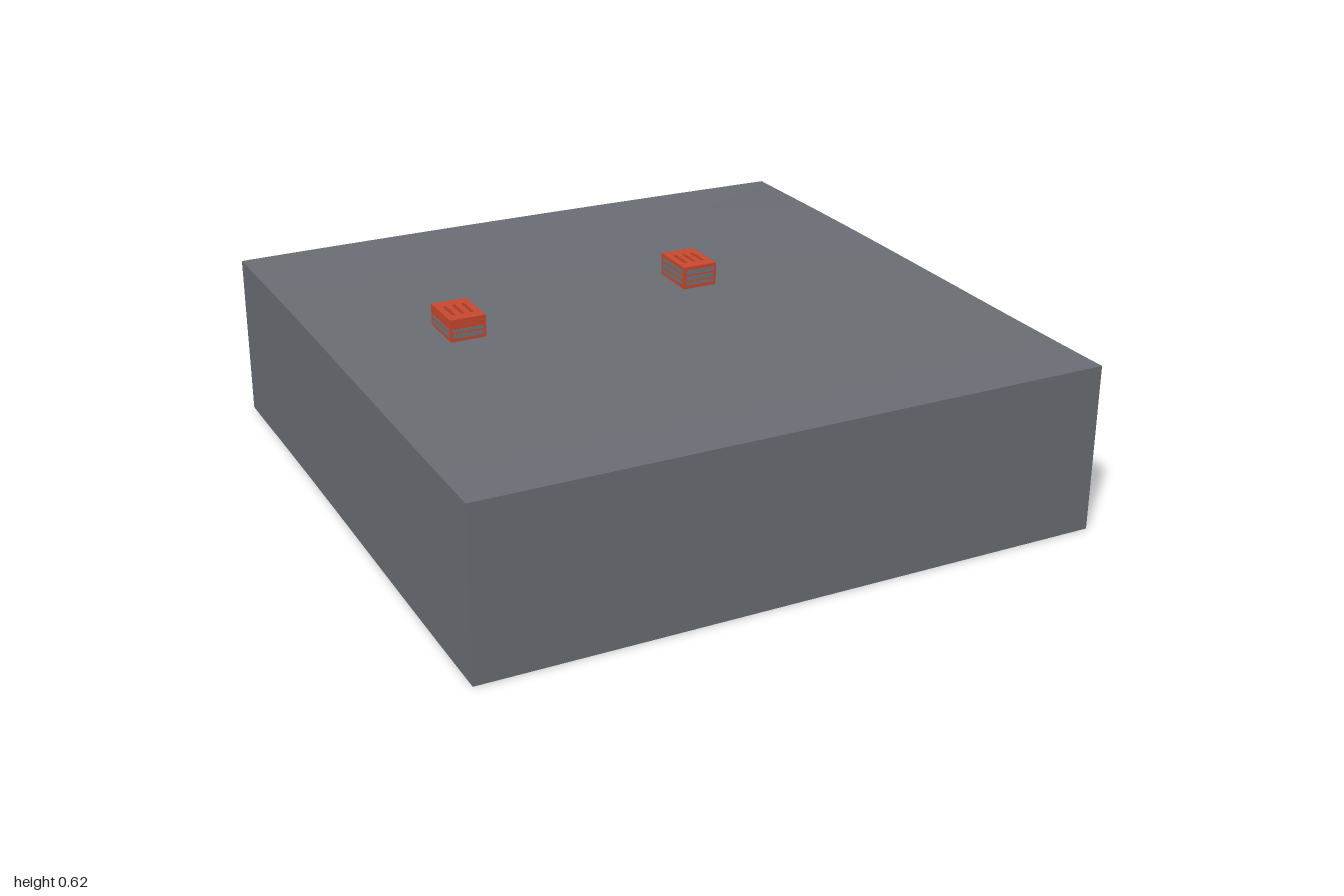
import * as THREE from 'three';

const DEPTH = 0.534;

// Gentle rise of the ground from front to back, easing off at the sides
function groundHeight(x, z) {
  const rise = THREE.MathUtils.smoothstep(-z, -0.9, 0.5);
  const falloff = 0.002 * THREE.MathUtils.smoothstep(-z, 0.6, 1);
  return DEPTH + rise * (0.016 - 0.005 * x * x) - falloff;
}

export function createModel() {
  const slate = new THREE.MeshStandardMaterial({ color: 0x6b6f75, side: THREE.DoubleSide });
  slate.name = 'slate ground';
  const red = new THREE.MeshStandardMaterial({ color: 0xcb4a30, side: THREE.DoubleSide });
  red.name = 'crate red';
  const grey = new THREE.MeshStandardMaterial({ color: 0x72787e });
  grey.name = 'crate grey';

  const model = new THREE.Group();
  const add = (parent, geometry, material, name, x = 0, y = 0, z = 0) => {
    const mesh = new THREE.Mesh(geometry, material);
    mesh.name = name;
    mesh.position.set(x, y, z);
    parent.add(mesh);
    return mesh;
  };

  // Ground surface
  const top = new THREE.PlaneGeometry(2, 2, 20, 20).rotateX(-Math.PI / 2);
  const tp = top.attributes.position;
  for (let i = 0; i < tp.count; i++) tp.setY(i, groundHeight(tp.getX(i), tp.getZ(i)));
  top.computeVertexNormals();
  add(model, top, slate, 'groundSurface');

  // Four skirt walls of constant height, open underneath
  ['front', 'left', 'back', 'right'].forEach((side, k) => {
    const wall = new THREE.PlaneGeometry(2, 1, 20, 1).translate(0, 0, 1).rotateY(k * Math.PI / 2);
    const p = wall.attributes.position;
    for (let i = 0; i < p.count; i++) {
      const h = groundHeight(p.getX(i), p.getZ(i));
      p.setY(i, p.getY(i) > 0 ? h : h - DEPTH);
    }
    add(model, wall, slate, side + 'Skirt');
  });

  // Slotted crate: red shell, grey side bands, three openings in the lid
  const W = 0.115, L = 0.16, H = 0.075, T = 0.008;
  function crate(name, x, y, z, bands) {
    const g = new THREE.Group();
    g.name = name;
    g.position.set(x, y, z);

    const lid = new THREE.Shape([[-1, -1], [1, -1], [1, 1], [-1, 1]]
      .map(([a, b]) => new THREE.Vector2(a * W / 2, b * L / 2)));
    for (const sx of [-0.03, 0, 0.03]) {
      lid.holes.push(new THREE.Path([[-1, -1], [-1, 1], [1, 1], [1, -1]]
        .map(([a, b]) => new THREE.Vector2(sx + a * 0.006, b * 0.04))));
    }
    const lidGeo = new THREE.ExtrudeGeometry(lid, { depth: T, bevelEnabled: false });
    add(g, lidGeo.rotateX(-Math.PI / 2), red, 'lid', 0, H - T, 0);

    for (const s of [-1, 1]) {
      add(g, new THREE.BoxGeometry(W, H - T, T), red, 'endWall', 0, (H - T) / 2, s * (L - T) / 2);
      add(g, new THREE.BoxGeometry(T, H - T, L - 2 * T), red, 'sideWall', s * (W - T) / 2, (H - T) / 2, 0);
      for (const [by, bh] of bands) {
        add(g, new THREE.BoxGeometry(W * 0.86, bh, 0.002), grey, 'endBand', 0, by, s * L / 2);
        add(g, new THREE.BoxGeometry(0.002, bh, L * 0.86), grey, 'sideBand', s * W / 2, by, 0);
      }
    }
    add(g, new THREE.BoxGeometry(W - 2 * T, T, L - 2 * T), grey, 'floor', 0, T / 2 + 0.006, 0);
    model.add(g);
  }
  crate('rightCrate', -0.5875, 0.54, -0.08, [[0.021, 0.013], [0.038, 0.01]]);
  crate('leftCrate', 0.2475, 0.545, -0.167, [[0.018, 0.01], [0.036, 0.014], [0.056, 0.014]]);

  return model;
}
